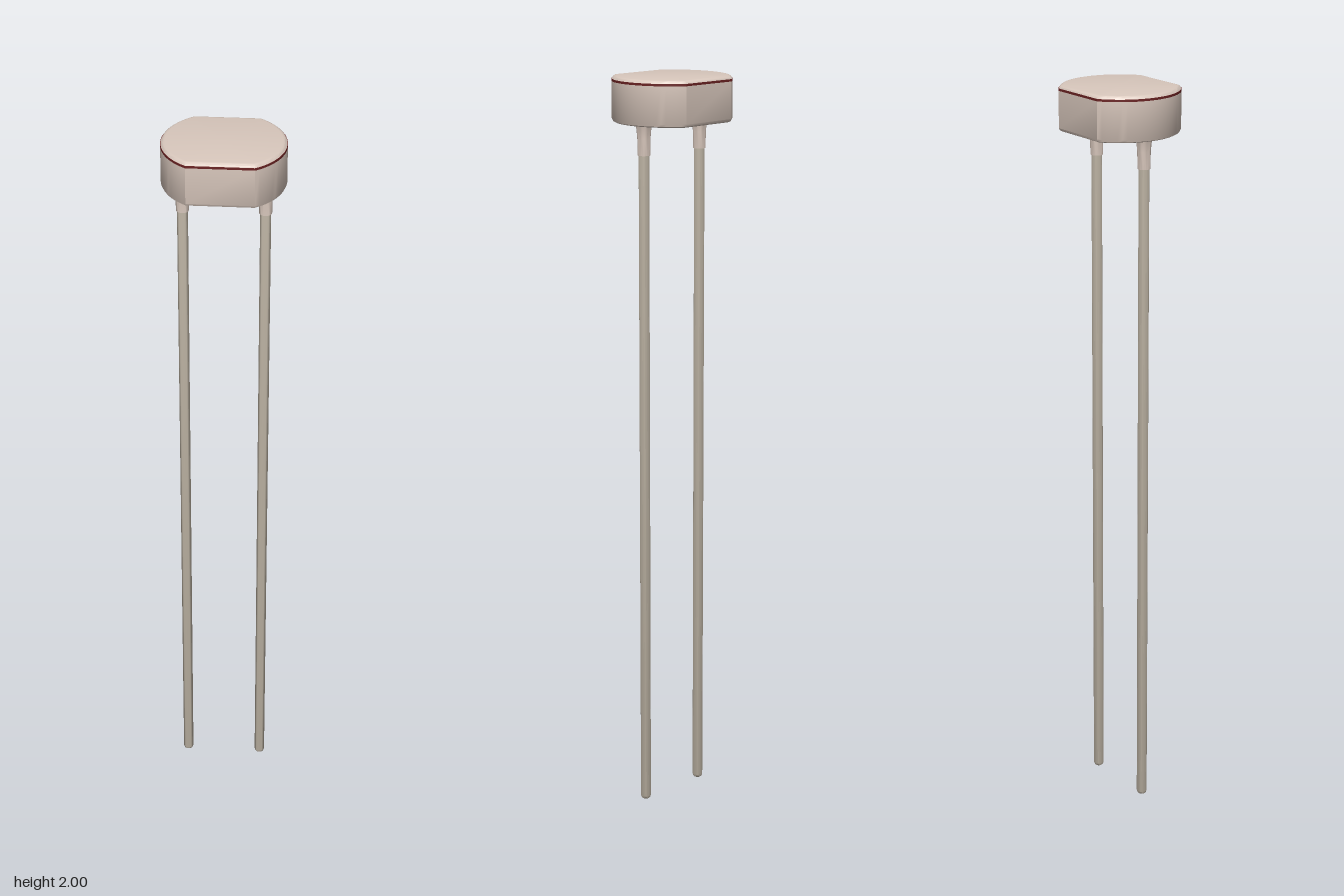
import * as THREE from 'three';
import { toCreasedNormals } from 'three/addons/utils/BufferGeometryUtils.js';

const RADIUS = 0.158, FLAT = 0.133, ARC_STEPS = 24;

// Outline of a disc with two flat sides, shrunk evenly by an inset
function ring(inset, y) {
  const r = RADIUS - inset, a = Math.asin((FLAT - inset) / r), pts = [];
  for (const mid of [0, Math.PI]) {
    for (let i = 0; i <= ARC_STEPS; i++) {
      const t = mid - a + (2 * a * i) / ARC_STEPS;
      pts.push([r * Math.cos(t), y, r * Math.sin(t)]);
    }
  }
  return pts;
}

// Closed slab from a profile of [inset, y] pairs, bottom to top
function slab(profile) {
  const rings = profile.map(([d, y]) => ring(d, y));
  const n = rings[0].length, pos = [];
  const tri = (...corners) => corners.forEach((c) => pos.push(...c));
  const low = [0, profile[0][1], 0], high = [0, profile[profile.length - 1][1], 0];
  for (let i = 0; i < n; i++) {
    const j = (i + 1) % n;
    for (let k = 0; k < rings.length - 1; k++) {
      const a = rings[k], b = rings[k + 1];
      tri(a[i], b[i], a[j]);
      tri(b[i], b[j], a[j]);
    }
    tri(low, rings[0][i], rings[0][j]);
    tri(high, rings[rings.length - 1][j], rings[rings.length - 1][i]);
  }
  const g = new THREE.BufferGeometry();
  g.setAttribute('position', new THREE.Float32BufferAttribute(pos, 3));
  return toCreasedNormals(g, 0.6);
}

function lathe(points) {
  const g = new THREE.LatheGeometry(points.map(([x, y]) => new THREE.Vector2(x, y)), 20);
  return toCreasedNormals(g, 0.7);
}

export function createModel() {
  const material = (name, color) => {
    const m = new THREE.MeshStandardMaterial({ color });
    m.name = name;
    return m;
  };
  const ceramic = material('ceramic', 0xd9c8bd);
  const darkRed = material('dark red', 0x6a2222);
  const metal = material('lead metal', 0xc2b8a8);

  const model = new THREE.Group();
  model.name = 'twoLeadSensor';
  const add = (name, geometry, mat, x = 0) => {
    const mesh = new THREE.Mesh(geometry, mat);
    mesh.name = name;
    mesh.position.x = x;
    model.add(mesh);
  };

  // Ceramic body with a softened lower edge
  add('body', slab([[0.009, 1.88], [0.003, 1.883], [0, 1.889], [0, 1.986]]), ceramic);
  // Thin coloured layer between body and cover
  add('sensingLayer', slab([[0, 1.986], [0, 1.992]]), darkRed);
  // Rounded cover
  add('cover', slab([[0.001, 1.992], [0.003, 1.996], [0.007, 1.999], [0.012, 2.0]]), ceramic);

  // Leads with rounded tips and flared coating where they enter the body
  const leadShape = lathe([[0, 0], [0.008, 0.001], [0.012, 0.004], [0.014, 0.01], [0.014, 1.885]]);
  const collarShape = lathe([[0.014, 1.8], [0.0165, 1.8], [0.0175, 1.845], [0.0195, 1.868], [0.023, 1.882]]);
  for (const [side, x] of [['left', 0.105], ['right', -0.105]]) {
    add(side + 'Lead', leadShape, metal, x);
    add(side + 'Collar', collarShape, ceramic, x);
  }
  return model;
}
